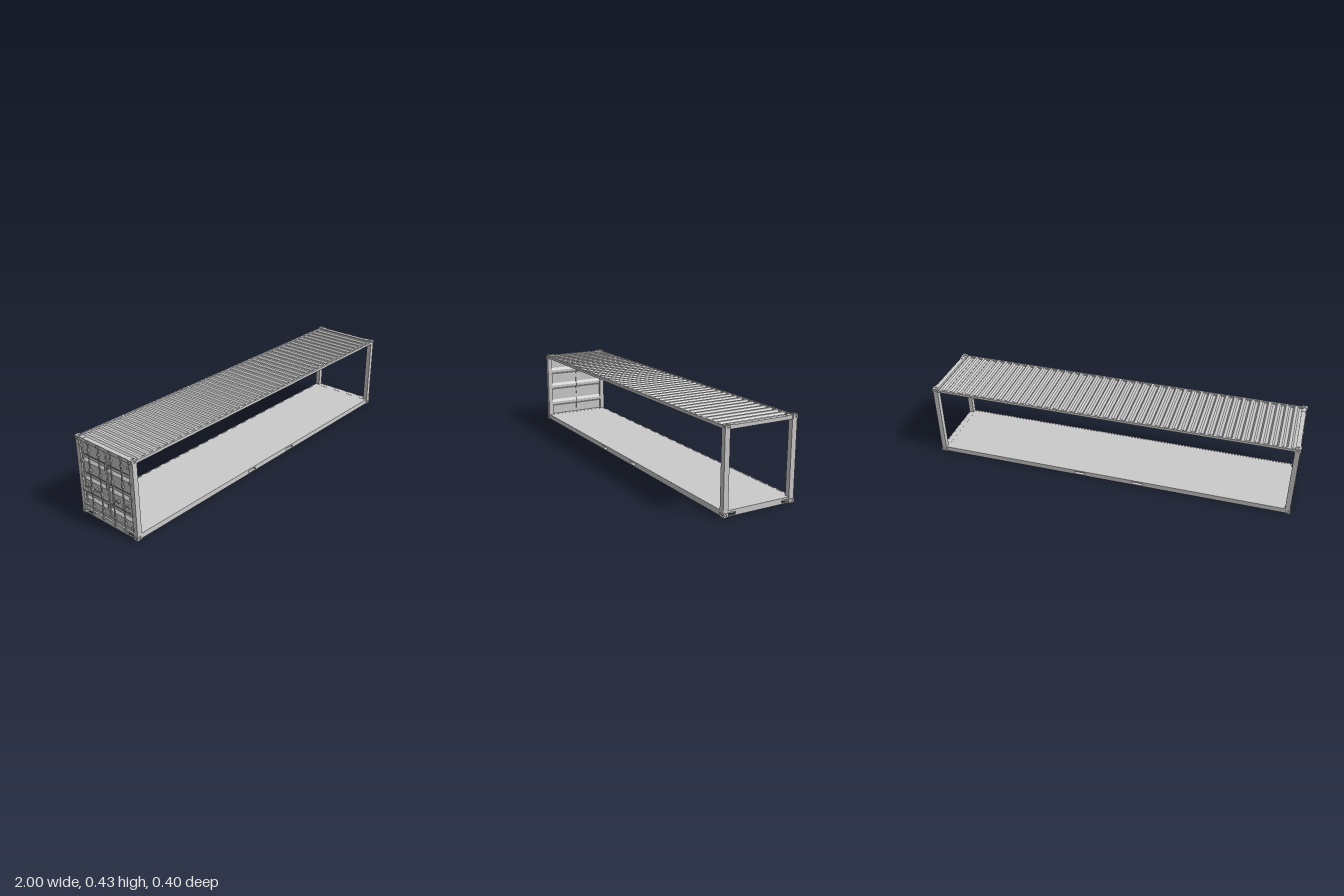
import * as THREE from 'three';

const mat = new THREE.MeshStandardMaterial({ color: 0xcccccc, flatShading: true });
const smooth = new THREE.MeshStandardMaterial({ color: 0xcccccc });

function add(parent, name, geo, x = 0, y = 0, z = 0, m = mat) {
  const mesh = new THREE.Mesh(geo, m);
  mesh.name = name;
  mesh.position.set(x, y, z);
  parent.add(mesh);
  return mesh;
}

// Box given by its limits on each axis
function box(parent, name, x0, x1, y0, y1, z0, z1) {
  return add(parent, name, new THREE.BoxGeometry(x1 - x0, y1 - y0, z1 - z0),
    (x0 + x1) / 2, (y0 + y1) / 2, (z0 + z1) / 2);
}

function extrude(shape, depth) {
  const geo = new THREE.ExtrudeGeometry(shape, { depth, bevelEnabled: false, curveSegments: 8 });
  return geo.translate(0, 0, -depth / 2);
}

function rect(x0, x1, y0, y1, Type = THREE.Shape) {
  const v = (x, y) => new THREE.Vector2(x, y);
  return new Type([v(x0, y0), v(x1, y0), v(x1, y1), v(x0, y1)]);
}

// Thin plate with an oval hole in the middle
function holedPlate(w, h, rx, ry, t) {
  const shape = rect(-w / 2, w / 2, -h / 2, h / 2);
  const hole = new THREE.Path();
  hole.absellipse(0, 0, rx, ry, 0, Math.PI * 2);
  shape.holes.push(hole);
  return extrude(shape, t);
}

// Corner casting: solid core behind three holed faces
function casting(sx, top, sz) {
  const g = new THREE.Group();
  g.name = 'cornerCasting';
  const sy = top ? 1 : -1, t = 0.004, W = 0.03, H = 0.02, D = 0.028;
  add(g, 'castingCore', new THREE.BoxGeometry(W - t, H - t, D - t), -sx * t / 2, -sy * t / 2, -sz * t / 2);
  add(g, 'endFace', holedPlate(D, H, 0.006, 0.006, t), sx * (W - t) / 2, 0, 0).rotation.y = Math.PI / 2;
  add(g, 'sideFace', holedPlate(W - t, H, 0.008, 0.005, t), -sx * t / 2, 0, sz * (D - t) / 2);
  add(g, 'capFace', holedPlate(W - t, D - t, 0.008, 0.005, t),
    -sx * t / 2, sy * (H - t) / 2, -sz * t / 2).rotation.x = Math.PI / 2;
  g.position.set(sx * 0.985, top ? 0.415 : 0.01, sz * 0.186);
  return g;
}

// Corrugated roof sheet, running along x
function roofGeometry() {
  const n = 42, x0 = -0.972, pitch = 1.944 / n, lo = 0.409, hi = 0.418, t = 0.002;
  const line = [];
  for (let i = 0; i < n; i++) {
    const x = x0 + i * pitch;
    line.push([x, lo], [x + pitch * 0.32, lo], [x + pitch * 0.5, hi], [x + pitch * 0.82, hi]);
  }
  line.push([-x0, lo]);
  const pts = line.map(([x, y]) => new THREE.Vector2(x, y - t));
  for (const [x, y] of line.reverse()) pts.push(new THREE.Vector2(x, y));
  return extrude(new THREE.Shape(pts), 0.378);
}

// Door leaf sheet with three horizontal grooves pressed inwards
function doorGeometry(width) {
  const out = -0.986, inn = -0.975, t = 0.003;
  const line = [[out, 0.031]];
  for (const y of [0.082, 0.192, 0.293]) {
    line.push([out, y], [inn, y + 0.014], [inn, y + 0.028], [out, y + 0.043]);
  }
  line.push([out, 0.403]);
  const pts = line.map(([x, y]) => new THREE.Vector2(x + t, y));
  for (const [x, y] of line.reverse()) pts.push(new THREE.Vector2(x, y));
  return extrude(new THREE.Shape(pts), width);
}

function doorLeaf(s) {
  const g = new THREE.Group();
  g.name = s > 0 ? 'leftDoor' : 'rightDoor';
  add(g, 'doorPanel', doorGeometry(0.169), 0, 0, s * 0.0862);
  // Outer door frame
  for (const z of [0.005, 0.168]) box(g, 'doorStile', -0.989, -0.984, 0.032, 0.402, s * z - 0.004, s * z + 0.004);
  for (const y of [0.038, 0.396]) box(g, 'doorRail', -0.989, -0.984, y - 0.006, y + 0.006, s * 0.086 - 0.08, s * 0.086 + 0.08);
  // Locking bars with brackets, cams and a handle
  for (const z of [0.042, 0.115]) {
    add(g, 'lockBar', new THREE.CylinderGeometry(0.003, 0.003, 0.39, 8), -0.993, 0.216, s * z, smooth);
    for (const y of [0.06, 0.155, 0.26, 0.37]) {
      box(g, 'barBracket', -0.997, -0.985, y - 0.005, y + 0.005, s * z - 0.006, s * z + 0.006);
    }
    for (const y of [0.022, 0.411]) {
      box(g, 'lockCam', -0.999, -0.988, y - 0.006, y + 0.006, s * z - 0.007, s * z + 0.007);
    }
    box(g, 'lockHandle', -0.999, -0.995, 0.162, 0.168, s * (z + 0.022) - 0.024, s * (z + 0.022) + 0.024);
    box(g, 'handleCatch', -0.998, -0.985, 0.157, 0.173, s * (z + 0.036) - 0.004, s * (z + 0.036) + 0.004);
  }
  // Hinges on the corner post
  for (const y of [0.055, 0.135, 0.215, 0.295, 0.375]) {
    box(g, 'hingeLeaf', -0.996, -0.986, y - 0.006, y + 0.006, s * 0.169 - 0.011, s * 0.169 + 0.011);
    add(g, 'hingePin', new THREE.CylinderGeometry(0.003, 0.003, 0.018, 8), -0.996, y, s * 0.176, smooth);
  }
  return g;
}

export function createModel() {
  const model = new THREE.Group();
  model.name = 'openSidedContainer';
  const pockets = [-0.17, 0.16];

  // Corner posts, castings and roof corner plates
  for (const sx of [-1, 1]) for (const sz of [-1, 1]) {
    add(model, 'cornerPost', new THREE.BoxGeometry(0.027, 0.385, 0.027), sx * 0.983, 0.2125, sz * 0.1855);
    model.add(casting(sx, true, sz), casting(sx, false, sz));
    add(model, 'roofCornerPlate', new THREE.BoxGeometry(0.026, 0.002, 0.027), sx * 0.983, 0.4225, sz * 0.1585);
  }

  // Long rails; the lower ones are pierced by the lifting pockets
  const railShape = rect(-0.97, 0.97, 0.002, 0.03);
  for (const x of pockets) railShape.holes.push(rect(x - 0.03, x + 0.03, 0.007, 0.021, THREE.Path));
  for (const s of [-1, 1]) {
    add(model, 'bottomSideRail', extrude(railShape, 0.007), 0, 0, s * 0.193);
    box(model, 'bottomFlange', -0.97, 0.97, 0.002, 0.005, s * 0.184 - 0.006, s * 0.184 + 0.006);
    box(model, 'topSideRail', -0.97, 0.97, 0.405, 0.419, s * 0.193 - 0.005, s * 0.193 + 0.005);
  }

  // End sills with slots, and door headers
  const sill = rect(-0.172, 0.172, 0.001, 0.03);
  for (const s of [-1, 1]) sill.holes.push(rect(s * 0.151 - 0.02, s * 0.151 + 0.02, 0.006, 0.02, THREE.Path));
  for (const s of [-1, 1]) {
    add(model, 'endSill', extrude(sill, 0.006), s * 0.992, 0, 0).rotation.y = Math.PI / 2;
    box(model, 'sillTop', s * 0.979 - 0.012, s * 0.979 + 0.012, 0.025, 0.0295, -0.172, 0.172);
    box(model, 'sillBack', s * 0.966 - 0.003, s * 0.966 + 0.003, 0.002, 0.0295, -0.188, 0.188);
    box(model, 'endHeader', s * 0.983 - 0.012, s * 0.983 + 0.012, 0.403, 0.4215, -0.172, 0.172);
  }

  // Floor and the channels beneath it
  box(model, 'floor', -0.966, 0.966, 0.023, 0.029, -0.19, 0.19);
  for (const x of pockets) {
    box(model, 'pocketBase', x - 0.032, x + 0.032, 0.003, 0.006, -0.189, 0.189);
    for (const s of [-1, 1]) {
      box(model, 'pocketWall', x + s * 0.032 - 0.0015, x + s * 0.032 + 0.0015, 0.0035, 0.024, -0.189, 0.189);
    }
  }
  box(model, 'crossBeam', -0.9, -0.87, 0.004, 0.024, -0.189, 0.189);

  // Roof sheet with lamps along its centre line
  add(model, 'roofSheet', roofGeometry());
  for (let i = 0; i < 6; i++) {
    const x = -0.78 + i * 0.298;
    box(model, 'ceilingLamp', x - 0.1, x + 0.1, 0.398, 0.409, -0.01, 0.01);
    box(model, 'lampCover', x - 0.097, x + 0.097, 0.395, 0.398, -0.006, 0.006);
  }

  for (const s of [-1, 1]) model.add(doorLeaf(s));
  return model;
}
